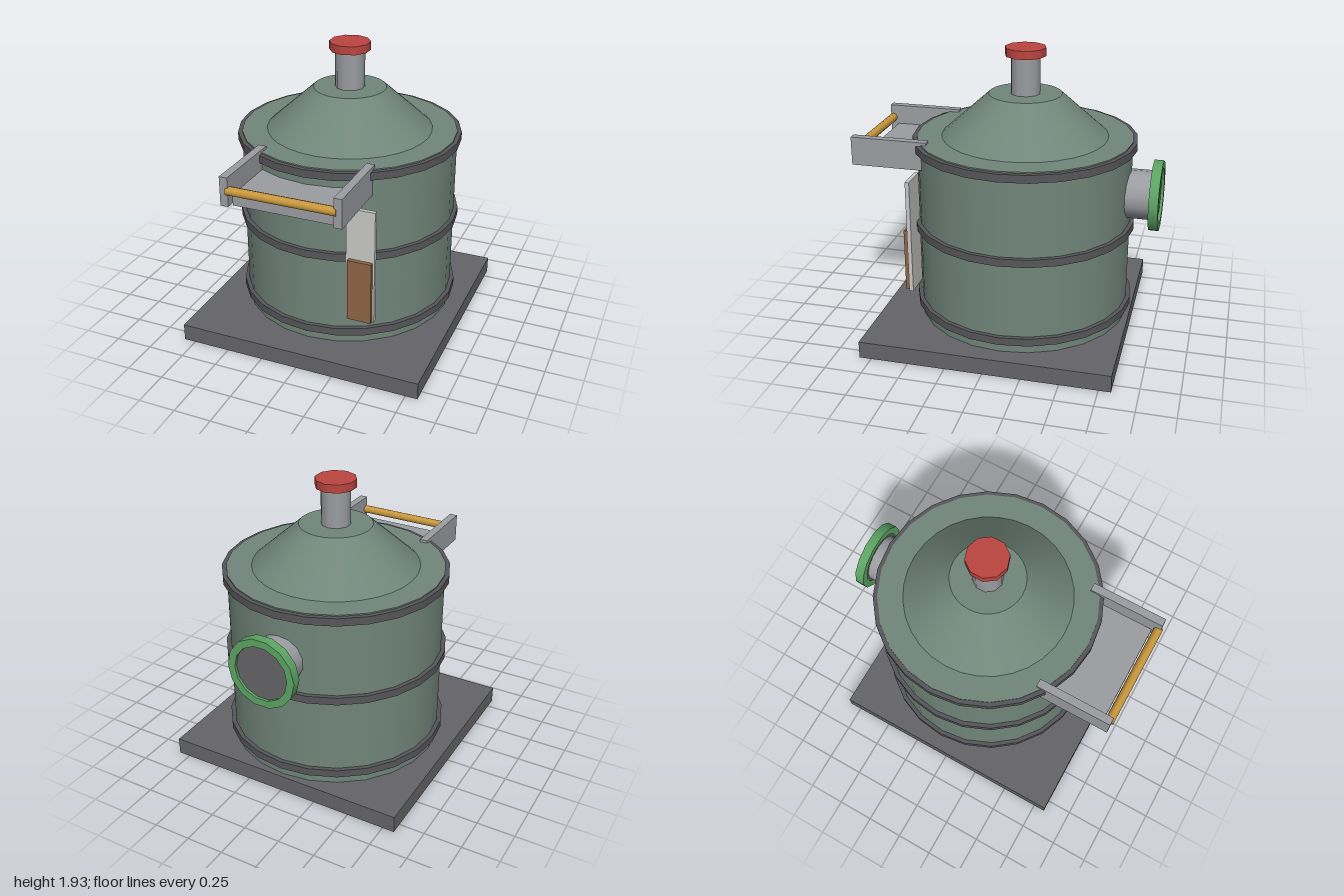
import * as THREE from 'three';

const mat = (name, color) => {
  const m = new THREE.MeshStandardMaterial({ color });
  m.name = name;
  return m;
};

export function createModel() {
  const green = mat('sage green', 0x71867a);
  const iron = mat('dark iron', 0x656468);
  const bandIron = mat('band iron', 0x57575b);
  const steel = mat('light steel', 0x9c9da2);
  const red = mat('red', 0xbd4540);
  const brightGreen = mat('bright green', 0x5ca563);
  const amber = mat('amber', 0xcb9a3e);
  const pale = mat('pale gauge', 0xc8cac6);
  const brown = mat('brown', 0x8e6445);

  const model = new THREE.Group();
  const add = (name, geometry, material, x, y, z, parent = model) => {
    const mesh = new THREE.Mesh(geometry, material);
    mesh.name = name;
    mesh.position.set(x, y, z);
    parent.add(mesh);
    return mesh;
  };
  const box = (w, h, d) => new THREE.BoxGeometry(w, h, d);
  const cyl = (top, bottom, h, sides) => new THREE.CylinderGeometry(top, bottom, h, sides);
  const Z = -0.085; // tank axis

  // Base, tank and conical lid
  add('base', box(1.66, 0.115, 1.66), iron, 0, 0.0575, 0);
  add('tank', cyl(0.715, 0.715, 1.235, 24), green, 0, 0.7325, Z);
  add('coneLid', cyl(0.24, 0.55, 0.28, 32), green, 0, 1.49, Z);

  // Hoops around the tank
  for (const y of [0.204, 0.76, 1.316]) {
    add('hoop', cyl(0.743, 0.743, 0.052, 24), bandIron, 0, y, Z);
  }

  // Chimney and cap
  add('chimney', cyl(0.098, 0.098, 0.27, 10), steel, 0, 1.755, Z);
  add('chimneyCap', cyl(0.135, 0.135, 0.055, 10), red, 0, 1.907, Z);

  // Rear outlet: pipe, flange and recessed grille, built upward then turned to -z
  const outlet = new THREE.Group();
  outlet.name = 'rearOutlet';
  outlet.position.set(0, 0.995, 0);
  outlet.rotation.x = -Math.PI / 2;
  model.add(outlet);
  add('outletPipe', cyl(0.164, 0.164, 0.24, 14), steel, 0, 0.84, 0, outlet);
  const ring = [[0.185, 0.938], [0.235, 0.938], [0.235, 0.938], [0.235, 1], [0.235, 1], [0.185, 1], [0.185, 1], [0.185, 0.938]];
  const flange = new THREE.LatheGeometry(ring.map(([r, y]) => new THREE.Vector2(r, y)), 14, Math.PI / 2);
  add('outletFlange', flange, brightGreen, 0, 0, 0, outlet);
  add('outletGrille', cyl(0.187, 0.187, 0.04, 14), iron, 0, 0.962, 0, outlet).rotation.y = Math.PI / 2;

  // Front tray with side plates and handle bar
  const tray = new THREE.Group();
  tray.name = 'frontTray';
  model.add(tray);
  add('trayFloor', box(0.68, 0.07, 0.43), steel, 0, 1.198, 0.715, tray);
  for (const side of [-1, 1]) {
    add('traySide', box(0.053, 0.19, 0.51), steel, side * 0.366, 1.273, 0.73, tray);
  }
  add('handleBar', cyl(0.029, 0.029, 0.71, 8), amber, 0, 1.277, 0.968, tray).rotation.z = Math.PI / 2;

  // Level gauge on the front
  add('gaugePlate', box(0.19, 0.785, 0.028), pale, 0.355, 0.717, 0.592);
  add('gaugeLevel', box(0.16, 0.43, 0.028), brown, 0.357, 0.545, 0.619);

  return model;
}
